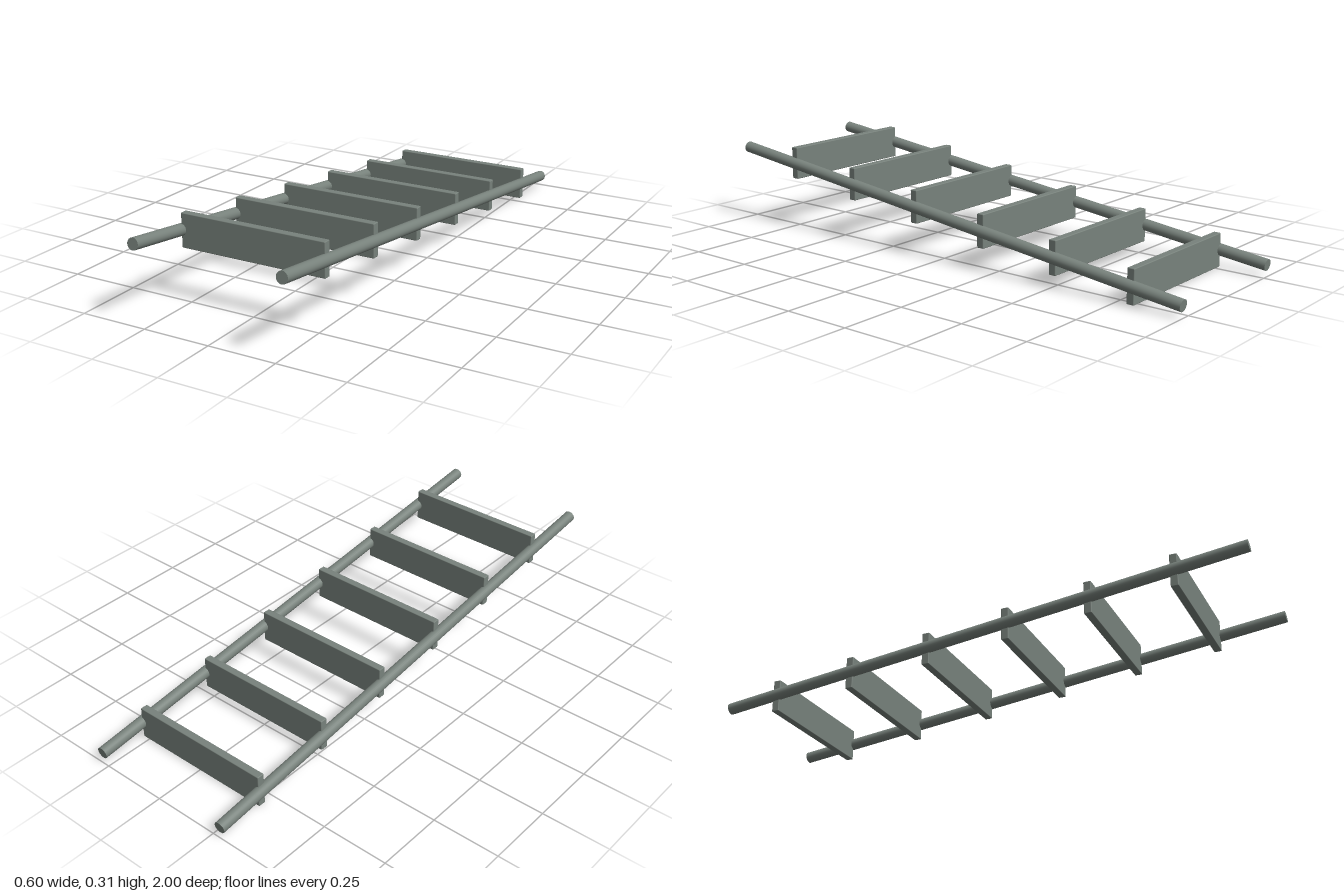
import * as THREE from 'three';
import { RoundedBoxGeometry } from 'three/addons/geometries/RoundedBoxGeometry.js';

export function createModel() {
  const ladder = new THREE.Group();
  ladder.name = 'ladder';
  const material = new THREE.MeshStandardMaterial({ color: 0x78827c });

  // Two round side rails, rising towards the front
  const radius = 0.0213;
  const back = new THREE.Vector3(0, 0.0395, -0.9974);
  const front = new THREE.Vector3(0, 0.284, 0.9974);
  const direction = front.clone().sub(back);
  const railGeometry = new THREE.CylinderGeometry(radius, radius, direction.length(), 24);
  for (const side of [-1, 1]) {
    const rail = new THREE.Mesh(railGeometry, material);
    rail.name = side > 0 ? 'leftRail' : 'rightRail';
    rail.position.addVectors(back, front).multiplyScalar(0.5).setX(side * 0.2787);
    rail.quaternion.setFromUnitVectors(new THREE.Vector3(0, 1, 0), direction.clone().normalize());
    ladder.add(rail);
  }

  // Six upright rung boards with slightly eased edges
  const rungGeometry = new RoundedBoxGeometry(0.554, 0.123, 0.028, 2, 0.003);
  for (let i = 0; i < 6; i++) {
    const rung = new THREE.Mesh(rungGeometry, material);
    rung.name = `rung${i + 1}`;
    rung.position.set(0, 0.0615 + i * 0.0381, -0.802 + i * 0.308);
    ladder.add(rung);
  }
  return ladder;
}
